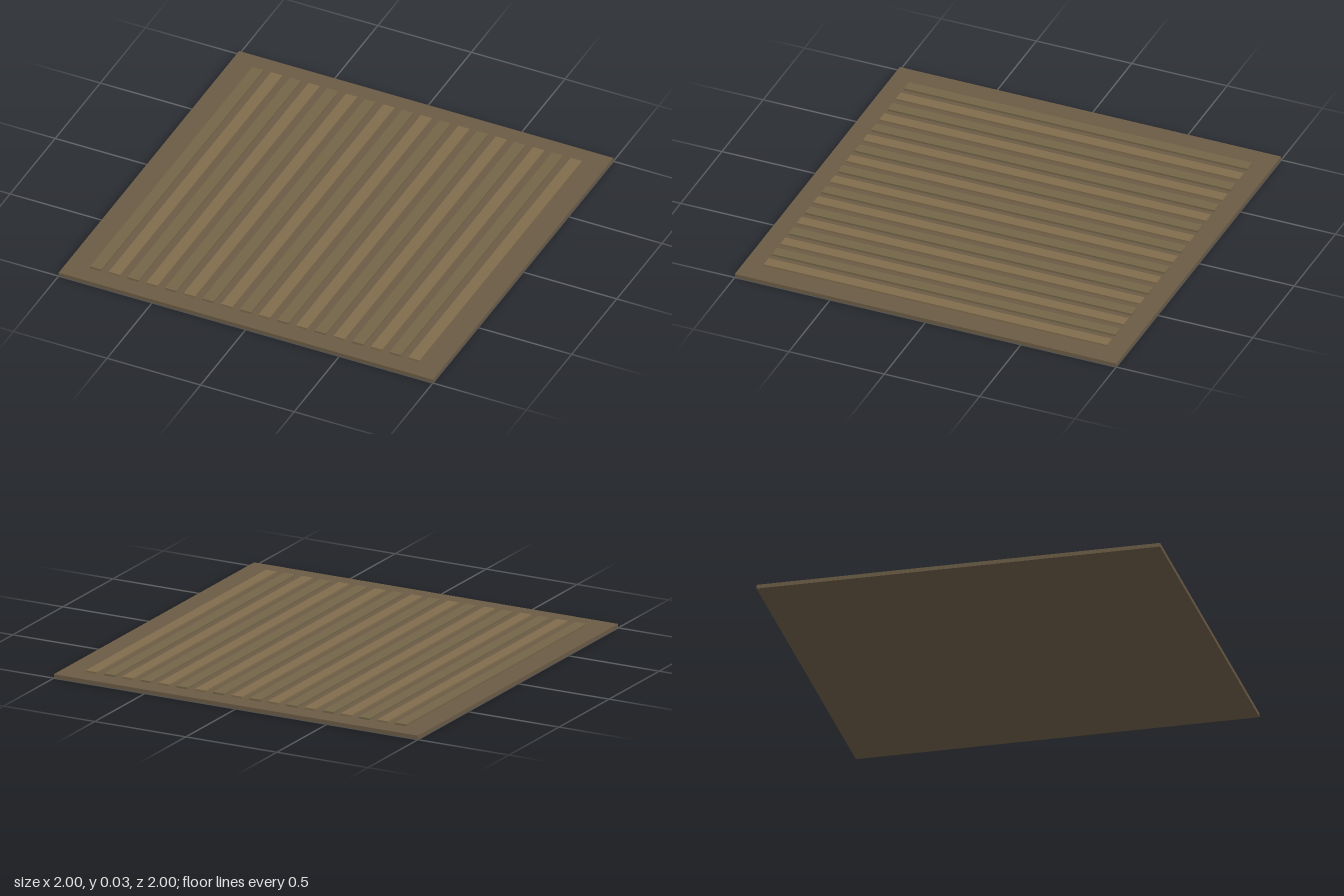
import * as THREE from 'three';

const BASE_TOP = 0.02;
const SLAT_COUNT = 18;
const SLAT_PITCH = 0.1;

function box(name, w, h, d, material) {
  const mesh = new THREE.Mesh(new THREE.BoxGeometry(w, h, d), material);
  mesh.name = name;
  return mesh;
}

export function createModel() {
  const model = new THREE.Group();
  model.name = 'slattedMat';

  const baseMaterial = new THREE.MeshStandardMaterial({ color: 0x6b5b45 });
  const slatMaterials = [0x736548, 0x806c4c].map(
    (color) => new THREE.MeshStandardMaterial({ color })
  );

  // Thin square base
  const base = box('base', 2, BASE_TOP, 2, baseMaterial);
  base.position.y = BASE_TOP / 2;
  model.add(base);

  // Raised slats running front to back, in two alternating tones
  const slats = new THREE.Group();
  slats.name = 'slats';
  for (let i = 0; i < SLAT_COUNT; i++) {
    const slat = box('slat', 0.06, 0.01, 1.8, slatMaterials[i % 2]);
    slat.position.set((i - (SLAT_COUNT - 1) / 2) * SLAT_PITCH, BASE_TOP + 0.005, 0);
    slats.add(slat);
  }
  model.add(slats);

  return model;
}
